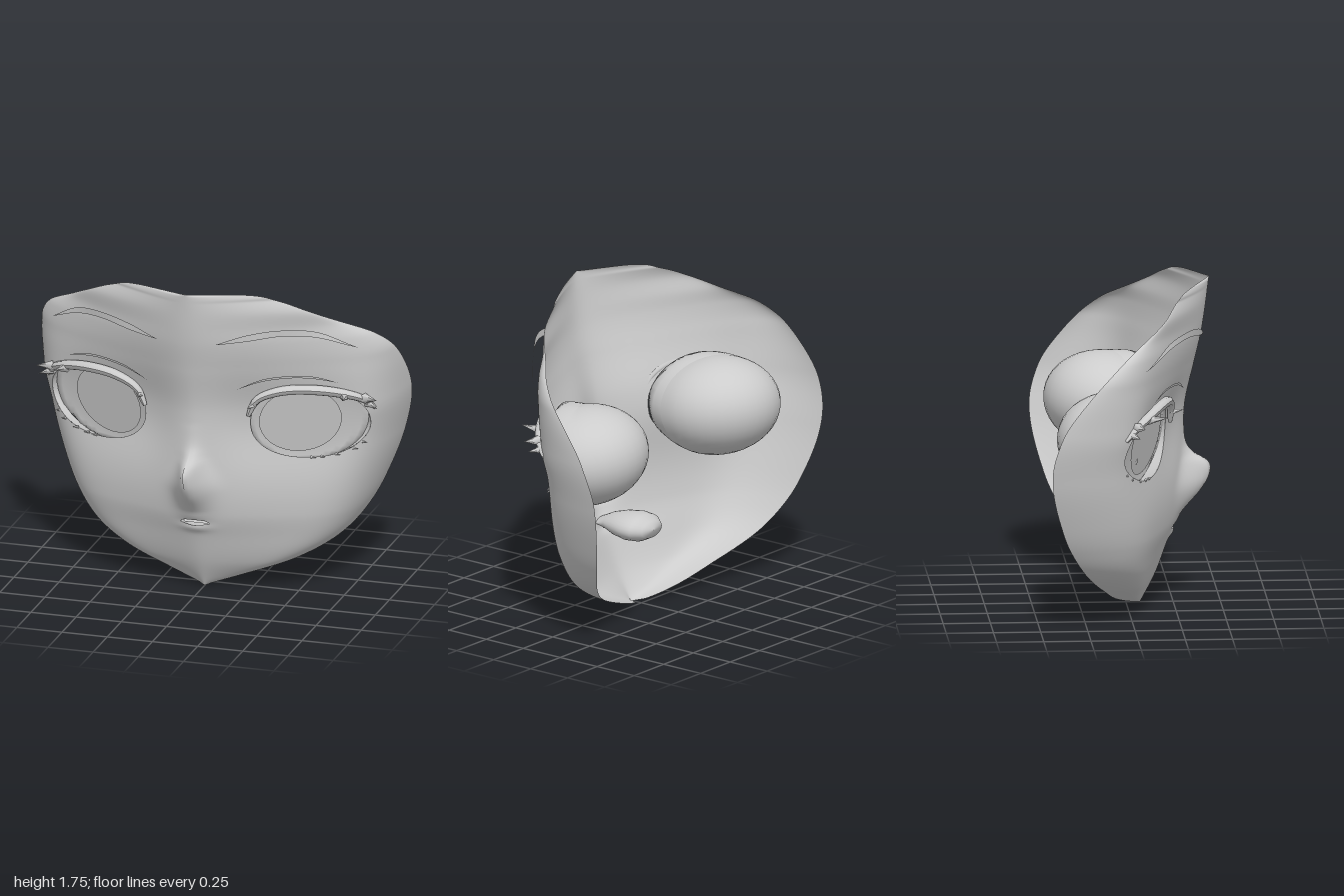
import * as THREE from 'three';

const grey = new THREE.MeshStandardMaterial({ color: 0xcccccc, side: THREE.DoubleSide });
grey.name = 'plain grey';
const white = new THREE.MeshStandardMaterial({ color: 0xffffff });
white.name = 'tooth white';

// Smooth cubic through [y, value] points, without overshoot
function profile(pts) {
  const n = pts.length - 1;
  const h = pts.slice(0, n).map((p, i) => pts[i + 1][0] - p[0]);
  const d = h.map((step, i) => (pts[i + 1][1] - pts[i][1]) / step);
  const m = pts.map((_, i) => {
    if (i === 0) return d[0];
    if (i === n) return d[n - 1];
    const a = d[i - 1], b = d[i];
    return a * b <= 0 ? 0 : Math.sign(a) * Math.min(Math.sqrt(a * b), 3 * Math.abs(a), 3 * Math.abs(b));
  });
  return (y) => {
    if (y <= pts[0][0]) return pts[0][1];
    if (y >= pts[n][0]) return pts[n][1];
    let i = 0;
    while (y > pts[i + 1][0]) i++;
    const t = (y - pts[i][0]) / h[i], t2 = t * t, t3 = t2 * t;
    return (2 * t3 - 3 * t2 + 1) * pts[i][1] + (t3 - 2 * t2 + t) * h[i] * m[i]
      + (3 * t2 - 2 * t3) * pts[i + 1][1] + (t3 - t2) * h[i] * m[i + 1];
  };
}

// Half width, rim depth, centre line and nose height, all by y
const TOP = 1.755;
const halfWidth = profile([[0, 0], [0.06, 0.2], [0.17, 0.5], [0.28, 0.68], [0.43, 0.8], [0.6, 0.88],
  [0.83, 0.955], [1.1, 1], [1.35, 0.975], [1.46, 0.9], [1.55, 0.75], [1.63, 0.61],
  [1.7, 0.45], [1.74, 0.3], [TOP, 0]]);
const rimZ = profile([[0, 0.06], [0.015, 0], [0.16, -0.15], [0.31, -0.27], [0.53, -0.38], [0.87, -0.45],
  [1.08, -0.4], [1.27, -0.27], [1.46, -0.08], [1.63, 0.165], [1.71, 0.25], [1.74, 0.31], [TOP, 0.44]]);
const centreZ = profile([[0, 0.075], [0.16, 0.155], [0.32, 0.214], [0.46, 0.265], [0.7, 0.3],
  [1.05, 0.312], [1.3, 0.362], [1.47, 0.4], [TOP, 0.44]]);
const noseZ = profile([[0.45, 0], [0.52, 0.045], [0.6, 0.105], [0.67, 0.14], [0.72, 0.148], [0.76, 0.13],
  [0.8, 0.06], [0.86, 0.015], [0.98, 0]]);
const bell = (v) => Math.exp(-v * v);

// Height of the face surface
function faceZ(x, y) {
  x = Math.abs(x);
  const w = Math.max(halfWidth(y), 1e-4), t = Math.min(x / w, 1);
  const soft = (Math.sqrt(t * t + 0.01) - 0.1) / (Math.sqrt(1.01) - 0.1);
  const side = (1 - 0.41 * soft) * Math.sqrt(1 - t ** 10);
  const flat = 1 - soft ** 1.15;
  const k = THREE.MathUtils.smoothstep(y, 1.0, 1.78);
  const r = rimZ(y);
  let z = r + (centreZ(y) - r) * (side * (1 - k) + flat * k);
  z += noseZ(y) * bell(x / (0.088 - 0.04 * THREE.MathUtils.smoothstep(y, 0.6, 0.8)));
  z -= 0.055 * bell(((x - 0.48) / 0.36) ** 2) * bell((y - 0.98) / 0.28);
  z += 0.013 * bell(x / 0.075) * (bell((y - 0.45) / 0.022) + bell((y - 0.38) / 0.022));
  return z;
}

// Openings for the eyes and mouth
const EYE = { x: 0.585, y: 0.98, rx: 0.295, ry: 0.193, n: 2.2 };
const MOUTH = { x: 0, y: 0.415, rx: 0.085, ry: 0.017, n: 1.8 };

function faceGeometry() {
  const rows = 180, half = 72, cols = half * 2, pos = [], inside = [], index = [];
  for (let i = 0; i <= rows; i++) {
    const v = i / rows, y0 = (TOP * (1 - Math.cos(Math.PI * v))) / 2, w = halfWidth(y0);
    for (let j = 0; j <= cols; j++) {
      let x = w * Math.sin(((j / half - 1) * Math.PI) / 2), y = y0, hit = false;
      for (const h of [EYE, MOUTH]) {
        const sx = h.x && x < 0 ? -1 : 1, dx = x * sx - h.x, dy = y - h.y;
        const r = (Math.abs(dx / h.rx) ** h.n + Math.abs(dy / h.ry) ** h.n) ** (1 / h.n);
        if (r < 1) { // slide inner points out to the edge of the opening
          hit = true;
          const f = 1 / Math.max(r, 0.01);
          x = sx * (h.x + dx * f);
          y = h.y + dy * f;
          break;
        }
      }
      inside.push(hit);
      pos.push(x, y, Math.abs(j - half) === half ? rimZ(y0) : faceZ(x, y));
    }
  }
  const tri = (a, b, c) => { if (!(inside[a] && inside[b] && inside[c])) index.push(a, b, c); };
  for (let i = 0; i < rows; i++) for (let j = 0; j < cols; j++) {
    const a = i * (cols + 1) + j, d = a + cols + 1;
    tri(a, a + 1, d + 1);
    tri(a, d + 1, d);
  }
  return surface(pos, index);
}

function surface(pos, index) {
  const g = new THREE.BufferGeometry();
  g.setAttribute('position', new THREE.Float32BufferAttribute(pos, 3));
  g.setIndex(index);
  g.computeVertexNormals();
  return g;
}

// Skin over closed rings, each a function of the angle
function loft(rings, n = 48) {
  const pos = [], index = [];
  rings.forEach((ring, r) => {
    for (let i = 0; i < n; i++) {
      pos.push(...ring((i / n) * Math.PI * 2));
      const a = r * n + i, b = r * n + ((i + 1) % n);
      if (r < rings.length - 1) index.push(a, a + n, b, b, a + n, b + n);
    }
  });
  return surface(pos, index);
}
const edgeOf = (h) => (a) => {
  const c = Math.cos(a), s = Math.sin(a), r = (Math.abs(c) ** h.n + Math.abs(s) ** h.n) ** (-1 / h.n);
  const x = h.x + h.rx * c * r, y = h.y + h.ry * s * r;
  return [x, y, faceZ(x, y)];
};

const curve = (pts) => new THREE.SplineCurve(pts.map((p) => new THREE.Vector2(...p)));

// Thin strip between two outlines, held off the face and bowed out in the middle
function strip(upper, lower, lift, bow, n = 24) {
  const g = new THREE.PlaneGeometry(1, 1, n, 1), p = g.attributes.position;
  const edges = [curve(upper), curve(lower)];
  for (let i = 0; i < p.count; i++) {
    const t = (i % (n + 1)) / n, q = edges[Math.floor(i / (n + 1))].getPoint(t);
    p.setXYZ(i, q.x, q.y, faceZ(q.x, q.y) + lift + bow * Math.sin(Math.PI * t));
  }
  g.computeVertexNormals();
  return g;
}

// Round bar tapering towards both ends
function taperedBar(pts, radius, n = 28) {
  const path = new THREE.CatmullRomCurve3(pts.map((p) => new THREE.Vector3(...p)));
  const g = new THREE.TubeGeometry(path, n, radius, 7), p = g.attributes.position, v = new THREE.Vector3();
  for (let i = 0; i < p.count; i++) {
    const t = Math.floor(i / 8) / n, c = path.getPointAt(t);
    v.fromBufferAttribute(p, i).sub(c).multiplyScalar(0.4 + 0.6 * Math.sin(Math.PI * t) ** 0.6).add(c);
    p.setXYZ(i, v.x, v.y, v.z);
  }
  g.computeVertexNormals();
  return g;
}

function add(parent, name, geometry, material = grey) {
  const m = new THREE.Mesh(geometry, material);
  m.name = name;
  parent.add(m);
  return m;
}

function spike(parent, name, at, dir, radius, length) {
  const d = new THREE.Vector3(...dir).normalize();
  const m = add(parent, name, new THREE.ConeGeometry(radius, length, 5));
  m.quaternion.setFromUnitVectors(new THREE.Vector3(0, 1, 0), d);
  m.position.set(...at).addScaledVector(d, length / 2 - 0.01);
}

function eyeSide() {
  const side = new THREE.Group();

  // Eyeball: slightly hollow at the front, deep and sagging outwards at the back
  const eye = new THREE.Group();
  eye.name = 'eye';
  eye.position.set(0.57, 0.985, 0.05);
  eye.rotation.set(0.18, 0.4, 0, 'YXZ');
  side.add(eye);
  const ball = new THREE.SphereGeometry(1, 32, 22), p = ball.attributes.position;
  for (let i = 0; i < p.count; i++) {
    const z = p.getZ(i) - 0.35, sag = THREE.MathUtils.clamp(-z / 0.35, 0, 1) * 0.03;
    p.setXYZ(i, p.getX(i) * 0.34 + sag, p.getY(i) * 0.264 - sag, z * (z > 0 ? -0.03 : 0.33));
  }
  ball.computeVertexNormals();
  add(eye, 'eyeball', ball);
  const iris = add(eye, 'iris', new THREE.CircleGeometry(1, 32));
  iris.scale.set(0.22, 0.19, 1);
  iris.position.set(-0.045, 0, 0.003);
  for (const [x, y] of [[0.0, 0.12], [0.06, -0.1]]) {
    add(eye, 'eyeHighlight', new THREE.CircleGeometry(0.018, 14)).position.set(x, y, 0.007);
  }

  // Lid wall joining the opening to the eyeball
  eye.updateMatrix();
  const ballEdge = (a) => new THREE.Vector3(0.319 * Math.cos(a), 0.247 * Math.sin(a), -0.005)
    .applyMatrix4(eye.matrix).toArray();
  add(side, 'lidWall', loft([edgeOf(EYE), ballEdge]));

  // Upper lash with pointed tips
  add(side, 'upperLash', taperedBar([[0.285, 1.03, 0.215], [0.33, 1.12, 0.215], [0.45, 1.175, 0.195],
    [0.6, 1.185, 0.15], [0.75, 1.16, 0.08], [0.86, 1.11, 0.0], [0.9, 1.05, -0.06]], 0.028));
  spike(side, 'lashTip', [0.87, 1.12, 0.01], [0.8, 0.05, 0.35], 0.028, 0.09);
  spike(side, 'lashTip', [0.88, 1.08, -0.02], [0.6, -0.1, 0.4], 0.024, 0.08);
  spike(side, 'lashTip', [0.77, 1.14, 0.07], [0.25, 0.15, 0.9], 0.028, 0.12);
  spike(side, 'lashTip', [0.31, 1.09, 0.22], [-0.1, 0.1, 0.9], 0.02, 0.08);

  // Lower lashes
  for (const [x, y] of [[0.6, 0.787], [0.65, 0.79], [0.72, 0.8], [0.8, 0.825], [0.84, 0.855]]) {
    spike(side, 'lowerLash', [x, y, faceZ(x, y)], [0.8, -0.1, -0.1], 0.009, 0.035);
  }

  // Eyelid crease and eyebrow
  add(side, 'eyelidCrease', strip([[0.25, 1.2], [0.38, 1.258], [0.52, 1.275], [0.64, 1.265], [0.75, 1.225]],
    [[0.25, 1.2], [0.38, 1.245], [0.52, 1.262], [0.64, 1.252], [0.75, 1.225]], 0.035, 0));
  add(side, 'eyebrow', strip([[0.16, 1.475], [0.32, 1.535], [0.5, 1.56], [0.67, 1.53], [0.85, 1.415]],
    [[0.16, 1.475], [0.32, 1.5], [0.5, 1.525], [0.67, 1.5], [0.85, 1.415]], 0.03, 0.05));
  return side;
}

export function createModel() {
  const model = new THREE.Group();
  model.name = 'faceMask';
  add(model, 'face', faceGeometry());

  // Eyes and brows, mirrored
  for (const [name, s] of [['leftEyeSide', 1], ['rightEyeSide', -1]]) {
    const side = eyeSide();
    side.name = name;
    side.scale.x = s;
    model.add(side);
  }

  // Mouth pocket and teeth
  const pocket = [[0.09, 0.045, 0.19], [0.12, 0.065, 0.12], [0.14, 0.075, 0.04], [0.13, 0.07, -0.02],
    [0.085, 0.045, -0.07], [0, 0, -0.085]];
  add(model, 'mouthPocket', loft([edgeOf(MOUTH), ...pocket.map(([rx, ry, z]) =>
    (a) => [rx * Math.cos(a), 0.422 + ry * Math.sin(a), z])], 28));
  add(model, 'teeth', new THREE.BoxGeometry(0.15, 0.04, 0.008), white).position.set(0, 0.415, 0.195);

  // Fine line down the nose
  add(model, 'noseLine', strip([[-0.001, 0.83], [-0.006, 0.77], [-0.005, 0.72], [-0.001, 0.66]],
    [[0.001, 0.83], [0.006, 0.77], [0.005, 0.72], [0.001, 0.66]], 0.004, 0));
  return model;
}
